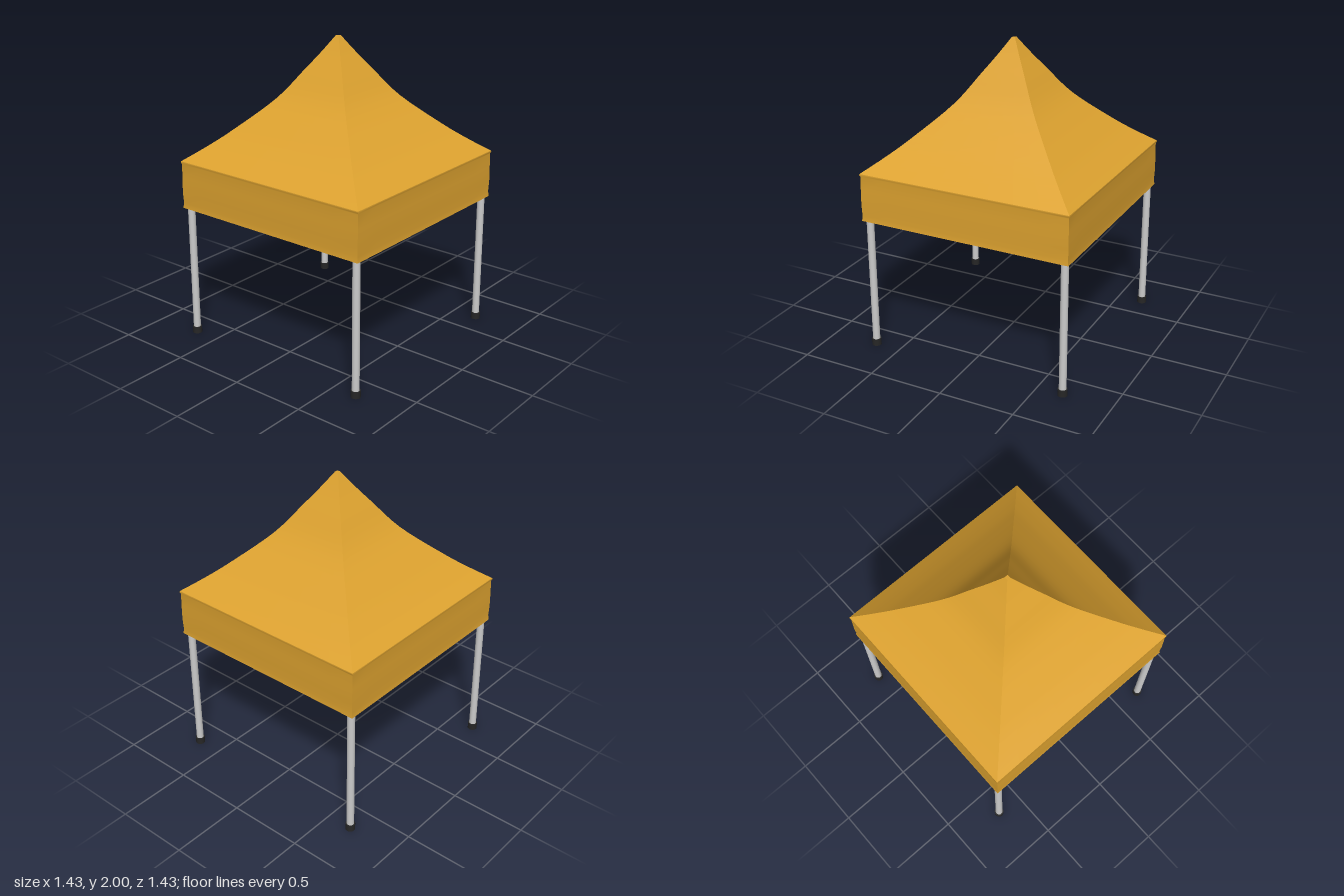
import * as THREE from 'three';

const mat = (name, color, side = THREE.FrontSide) => {
  const m = new THREE.MeshStandardMaterial({ color, side });
  m.name = name;
  return m;
};

export function createModel() {
  const orange = mat('orange fabric', 0xdda22f);
  const pale = mat('pale lining', 0xd6d6d6);
  const metal = mat('light metal', 0xcbcbcb);
  const black = mat('black plastic', 0x262626);

  const model = new THREE.Group();
  model.name = 'canopyTent';
  const V = (x, y, z) => new THREE.Vector3(x, y, z);

  function add(parent, name, geometry, material, x = 0, y = 0, z = 0) {
    const mesh = new THREE.Mesh(geometry, material);
    mesh.name = name;
    mesh.position.set(x, y, z);
    parent.add(mesh);
    return mesh;
  }

  // Fabric panel for one side: half-width and height follow a profile, top to bottom
  function panel(profile, flip = 1) {
    const g = new THREE.PlaneGeometry(1, 1, 8, profile.length - 1);
    const p = g.attributes.position;
    for (let i = 0; i < p.count; i++) {
      const { x: half, y } = profile[Math.floor(i / 9)];
      p.setXYZ(i, flip * p.getX(i) * 2 * half, y, half);
    }
    g.computeVertexNormals();
    return g;
  }

  // Flat scissor bar between two points
  function bar(parent, a, b) {
    const m = add(parent, 'scissorBar', new THREE.BoxGeometry(0.012, 0.024, a.distanceTo(b)), metal);
    m.position.copy(a).add(b).multiplyScalar(0.5);
    const aim = new THREE.Object3D();
    aim.position.copy(m.position);
    aim.lookAt(b);
    m.quaternion.copy(aim.quaternion);
  }

  // Crossed pair of bars between two uprights, with a pivot at the crossing
  const HIGH = 1.17, LOW = 0.945;
  function scissor(parent, a, b) {
    const off = V(b.z - a.z, 0, a.x - b.x).normalize().multiplyScalar(0.008);
    const at = (p, y, s) => V(p.x, y, p.z).addScaledVector(off, s);
    bar(parent, at(a, HIGH, 1), at(b, LOW, 1));
    bar(parent, at(a, LOW, -1), at(b, HIGH, -1));
    add(parent, 'pivot', new THREE.BoxGeometry(0.032, 0.032, 0.032), black,
      (a.x + b.x) / 2, (HIGH + LOW) / 2, (a.z + b.z) / 2);
  }

  const curve = new THREE.SplineCurve([
    [0.012, 2], [0.075, 1.9], [0.15, 1.79], [0.28, 1.605], [0.48, 1.405], [0.6, 1.3], [0.712, 1.212],
  ].map(([x, y]) => new THREE.Vector2(x, y)));
  const roof = curve.getPoints(28);
  const valance = [
    [0.712, 1.212], [0.714, 1.203], [0.708, 1.192], [0.71, 1.1], [0.711, 1.0], [0.708, 0.93], [0.712, 0.895],
  ].map(([x, y]) => new THREE.Vector2(x, y));

  // Linings sit just inside the fabric and meet it at the bottom hem
  const inset = (pts, dx, dy) => pts.map((p) => new THREE.Vector2(Math.max(p.x - dx, 0.004), p.y - dy));
  const roofLining = inset(roof, 0.005, 0.005);
  const valanceLining = inset(valance, 0.005, 0.005);
  valanceLining[valanceLining.length - 1].copy(valance[valance.length - 1]);

  const LEG = 0.675;
  for (let i = 0; i < 4; i++) {
    const side = new THREE.Group();
    side.name = 'side' + (i + 1);
    side.rotation.y = (i * Math.PI) / 2;
    model.add(side);

    // Fabric
    add(side, 'roofPanel', panel(roof), orange);
    add(side, 'valance', panel(valance), orange);
    add(side, 'roofLining', panel(roofLining, -1), pale);
    add(side, 'valanceLining', panel(valanceLining, -1), pale);

    // Leg, foot and corner brackets
    add(side, 'leg', new THREE.CylinderGeometry(0.024, 0.024, 1.17, 24), metal, LEG, 0.615, LEG);
    add(side, 'foot', new THREE.CylinderGeometry(0.031, 0.031, 0.045, 24), black, LEG, 0.0225, LEG);
    for (const y of [HIGH, LOW]) {
      add(side, 'legBracket', new THREE.BoxGeometry(0.054, 0.04, 0.054), black, LEG, y, LEG);
      add(side, 'bracketArm', new THREE.BoxGeometry(0.03, 0.034, 0.02), black, LEG - 0.04, y, LEG);
      add(side, 'bracketArm', new THREE.BoxGeometry(0.02, 0.034, 0.03), black, LEG, y, LEG - 0.04);
      add(side, 'middleJoint', new THREE.BoxGeometry(0.05, 0.034, 0.036), black, 0, y, LEG);
    }

    // Scissor frame along the side and in to the centre pole
    scissor(side, V(-LEG, 0, LEG), V(0, 0, LEG));
    scissor(side, V(0, 0, LEG), V(LEG, 0, LEG));
    scissor(side, V(0, 0, LEG), V(0, 0, 0));
  }

  // Peak cap closing the roof tip
  add(model, 'peakCap', new THREE.BoxGeometry(0.024, 0.006, 0.024), orange, 0, 1.997, 0);

  // Centre pole with its two hubs
  add(model, 'centrePole', new THREE.CylinderGeometry(0.016, 0.016, 1.03, 20), metal, 0, 1.435, 0);
  for (const y of [HIGH, LOW]) {
    add(model, 'centreHub', new THREE.BoxGeometry(0.052, 0.036, 0.052), black, 0, y, 0);
  }

  return model;
}
